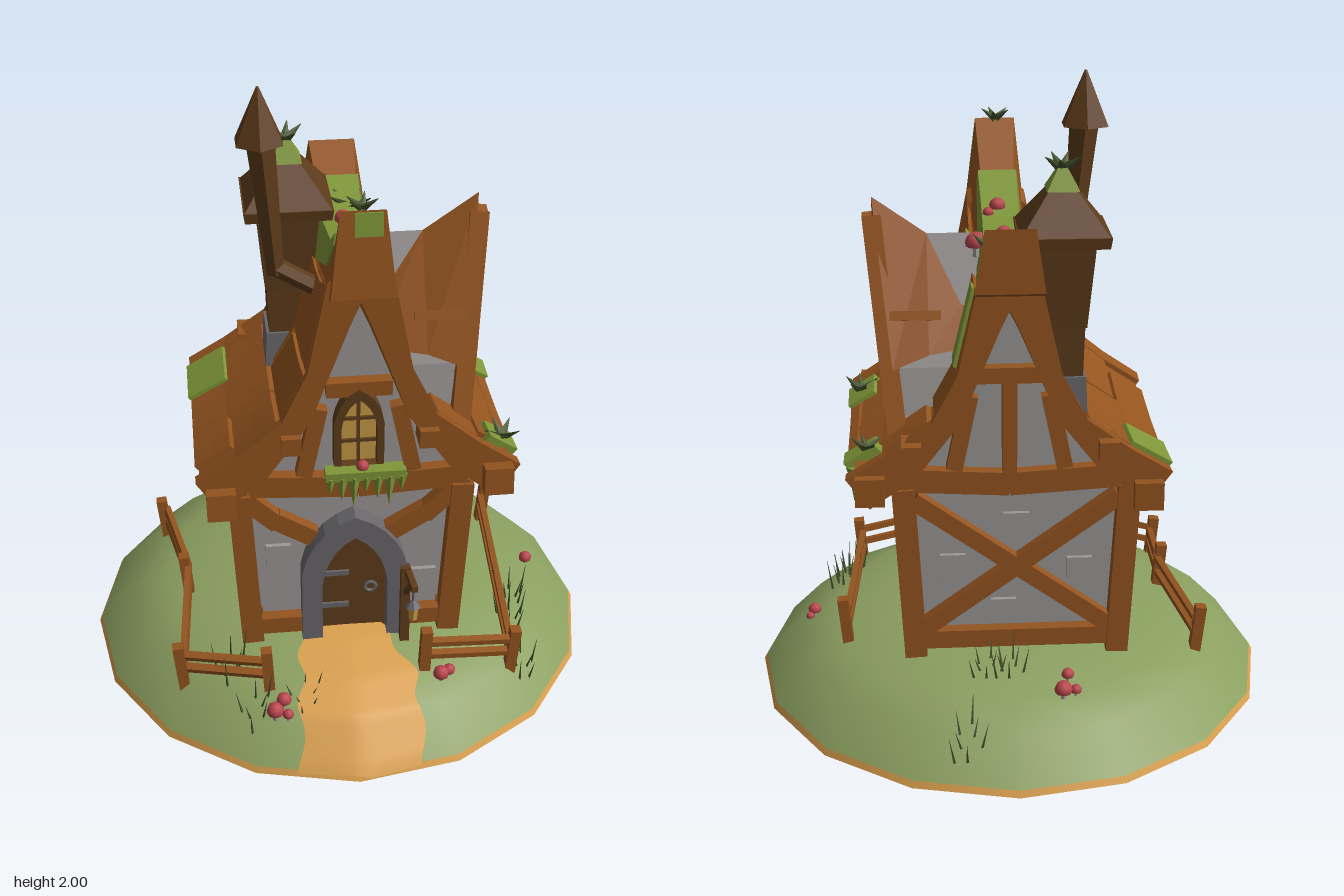
import * as THREE from 'three';

const V = (x, y, z) => new THREE.Vector3(x, y, z);
const lerp = THREE.MathUtils.lerp;
const mat = (name, color) => Object.assign(new THREE.MeshStandardMaterial({ color }), { name });
const M = {
  wood: mat('wood', 0x94541f), dark: mat('dark wood', 0x5e3c1b), wall: mat('plaster', 0x9c9896),
  stone: mat('stone', 0x69676a), grass: mat('grass', 0x8b9f60), dirt: mat('path dirt', 0xd9a04e),
  moss: mat('moss', 0x7f9638), leaf: mat('leaf', 0x46552c), red: mat('mushroom red', 0xb8444c),
  glass: mat('window glow', 0xc79a45),
};

// ---------- helpers ----------
function add(parent, name, geo, material, x = 0, y = 0, z = 0) {
  const m = new THREE.Mesh(geo, material);
  m.name = name;
  m.position.set(x, y, z);
  parent.add(m);
  return m;
}
function flat(geo) {
  const g = geo.index ? geo.toNonIndexed() : geo;
  g.computeVertexNormals();
  return g;
}
const aim = (m, a, b) => {
  m.position.copy(a).lerp(b, 0.5);
  m.quaternion.setFromUnitVectors(V(0, 1, 0), b.clone().sub(a).normalize());
  return m;
};
const beam = (p, name, a, b, w, d, material = M.wood) =>
  aim(add(p, name, new THREE.BoxGeometry(w, a.distanceTo(b), d), material), a, b);
const rod = (p, name, a, b, r0, r1, n, material) =>
  aim(add(p, name, flat(new THREE.CylinderGeometry(r1, r0, a.distanceTo(b), n)), material), a, b);

// Skins loops of points; the first loop is the front one, counter-clockwise from the front
function loft(sections) {
  const out = [], n = sections[0].length;
  const tri = (...ps) => ps.forEach((p) => out.push(p.x, p.y, p.z));
  for (let k = 0; k + 1 < sections.length; k++) for (let i = 0; i < n; i++) {
    const j = (i + 1) % n, s = sections[k], t = sections[k + 1];
    tri(s[i], t[i], t[j]);
    tri(s[i], t[j], s[j]);
  }
  const f = sections[0], b = sections[sections.length - 1];
  for (let i = 0; i < n / 2 - 1; i++) {
    tri(f[i], f[i + 1], f[n - 1 - i]);
    tri(b[i], b[n - 1 - i], b[i + 1]);
    if (i + 1 !== n - 2 - i) {
      tri(f[i + 1], f[n - 2 - i], f[n - 1 - i]);
      tri(b[i + 1], b[n - 1 - i], b[n - 2 - i]);
    }
  }
  const g = new THREE.BufferGeometry();
  g.setAttribute('position', new THREE.Float32BufferAttribute(out, 3));
  g.computeVertexNormals();
  return g;
}
const stations = (a, b, n) => Array.from({ length: n + 1 }, (_, i) => lerp(a, b, i / n));

// Ground height on the 16-sided mound
const HILL = [[0.845, 0], [0.835, 0.02], [0.72, 0.14], [0.6, 0.19], [0.45, 0.226], [0.25, 0.245], [0.001, 0.25]];
function groundY(x, z) {
  const step = Math.PI / 8, a = Math.atan2(x, z) + 0.024 + Math.PI * 2;
  const r = Math.hypot(x, z) * Math.cos((a % step) - step / 2) / Math.cos(step / 2);
  for (let i = 1; i < HILL.length; i++) {
    const [r0, y0] = HILL[i - 1], [r1, y1] = HILL[i];
    if (r >= r1) return lerp(y0, y1, Math.min(1, Math.max(0, (r0 - r) / (r0 - r1))));
  }
  return 0.25;
}

// Swept roof profile: half width and height, outer and inner edge, eave to ridge
const CX = 0.022;
const OUTER = [[0.49, 0.86], [0.365, 0.945], [0.225, 1.06], [0.145, 1.23], [0.085, 1.53], [0, 1.62]];
const INNER = [[0.43, 0.76], [0.285, 0.875], [0.15, 1.07], [0.085, 1.25], [0.03, 1.4], [0, 1.47]];
const sag = (z) => 0.17 - 0.17 * ((z + 0.08) / 0.5) ** 2;
function roofPoint(t, f, side, z, lift = 0) {
  const i = Math.min(4, Math.floor(t)), u = t - i;
  const c = (k) => lerp(lerp(OUTER[i][k], OUTER[i + 1][k], u), lerp(INNER[i][k], INNER[i + 1][k], u), f);
  const y = c(1);
  return V(CX + side * (c(0) + lift), y + lift - sag(z) * (y - 0.6) / 0.95, z);
}
const arc = (f, z, lift, from = 0) => [
  ...[0, 1, 2, 3, 4, 5].filter((i) => i >= from).map((i) => roofPoint(i, f, 1, z, i === 5 ? 0 : lift)),
  ...[4, 3, 2, 1, 0].filter((i) => i >= from).map((i) => roofPoint(i, f, -1, z, lift))];
const roofShell = (zs, f, lift) => loft(zs.map((z) => [...arc(0, z, lift), ...arc(f, z, 0).reverse()]));
// Thin plate lying on one roof slope
function roofPatch(t0, t1, z0, z1, side, lift) {
  const ts = stations(t0, t1, 2);
  return loft(stations(z0, z1, 4).map((z) => {
    const loop = [...ts.map((t) => roofPoint(t, 0, side, z, lift)),
      ...ts.map((t) => roofPoint(t, 0.1, side, z)).reverse()];
    return side > 0 ? loop : loop.reverse();
  }));
}

// Pointed arch outline
function arch(P, w, h) {
  const s = new P();
  s.moveTo(-w, 0); s.lineTo(w, 0); s.lineTo(w, h * 0.55);
  s.quadraticCurveTo(w * 0.85, h * 0.88, 0, h);
  s.quadraticCurveTo(-w * 0.85, h * 0.88, -w, h * 0.55);
  s.closePath();
  return s;
}
function archFrame(w, h, w2, h2, depth) {
  const s = arch(THREE.Shape, w, h);
  s.holes.push(arch(THREE.Path, w2, h2));
  return new THREE.ExtrudeGeometry(s, { depth, bevelEnabled: false, curveSegments: 5 });
}

function mushroom(p, x, y, z, s) {
  rod(p, 'mushroomStem', V(x, y - 0.01, z), V(x, y + s, z), s * 0.35, s * 0.25, 6, M.wall);
  add(p, 'mushroomCap', new THREE.SphereGeometry(s, 8, 4, 0, 6.2832, 0, 1.9), M.red, x, y + s, z);
}
function plant(p, x, y, z, s, n = 5) {
  for (let i = 0; i < n; i++) {
    const a = i * 2.4 + x * 9;
    const leaf = rod(p, 'plantLeaf', V(x, y, z), V(x + Math.cos(a) * s, y + s * 0.7, z + Math.sin(a) * s), s * 0.3, 0.001, 4, M.leaf);
    leaf.scale.z = 0.3;
  }
}
function tuft(p, x, z, h) {
  for (let i = 0; i < 7; i++) {
    const a = i * 2.4, r = 0.018 + 0.006 * i, bx = x + Math.cos(a) * r, bz = z + Math.sin(a) * r, y = groundY(bx, bz);
    rod(p, 'grassBlade', V(bx, y - 0.01, bz), V(bx + Math.cos(a) * 0.02, y + h * (0.6 + 0.07 * i), bz + Math.sin(a) * 0.02), 0.005, 0.0005, 3, M.leaf);
  }
}

export function createModel() {
  const root = new THREE.Group();
  root.name = 'cottage';
  const group = (name) => { const g = new THREE.Group(); g.name = name; root.add(g); return g; };

  // Mound, dirt rim, underside and path
  const ground = group('ground');
  const lathe = (pts) => new THREE.LatheGeometry(pts.map((p) => new THREE.Vector2(...p)), 16, -0.024);
  add(ground, 'mound', lathe(HILL.slice(1)), M.grass);
  add(ground, 'dirtRim', lathe(HILL.slice(0, 2)), M.dirt);
  add(ground, 'underside', new THREE.CircleGeometry(0.845, 16, 0.024).rotateX(Math.PI / 2), M.grass);
  const path = new THREE.PlaneGeometry(1, 1, 10, 26), pp = path.attributes.position;
  for (let i = 0; i < pp.count; i++) {
    const v = 0.5 - pp.getY(i), wob = 0.012 * Math.sin(v * 17);
    const x = lerp(-0.16 - 0.04 * v + wob, 0.09 + 0.1 * Math.min(1, v * 2) + wob, pp.getX(i) + 0.5);
    const z = lerp(0.36, 0.843 - 0.2 * Math.abs(x), v);
    pp.setXYZ(i, x, groundY(x, z) + 0.007, z);
  }
  path.computeVertexNormals();
  add(ground, 'path', path, M.dirt);

  // Plaster body, flaring up to the roof
  const house = group('house');
  add(house, 'walls', loft(stations(0.36, -0.335, 6).map((z) =>
    [V(0.305, 0.2, z), V(0.345, 0.8, z), ...arc(0.6, z, 0, 1), V(-0.33, 0.8, z), V(-0.295, 0.2, z)])), M.wall);

  // Roof, barge boards, lapped courses, eave beams
  const roof = group('roof');
  add(roof, 'roofShell', roofShell(stations(0.4, -0.355, 8), 0.35, 0), M.wood);
  add(roof, 'frontBargeBoard', roofShell([0.42, 0.365], 1, 0.012), M.wood);
  add(roof, 'backBargeBoard', roofShell([-0.325, -0.385], 1, 0.012), M.wood);
  for (const s of [1, -1]) {
    for (const [t0, t1, z0, z1] of [[1.0, 1.9, 0.36, 0.1], [0.9, 1.9, 0.09, -0.32], [2, 2.9, 0.36, -0.05], [2.1, 3, -0.06, -0.32], [3, 4, 0.36, -0.32], [0, 0.9, 0.3, -0.2]])
      add(roof, 'roofCourse', roofPatch(t0, t1, z0, z1, s, 0.012), M.wood);
    const x = s > 0 ? 0.45 : -0.405, y = s > 0 ? 0.845 : 0.81;
    beam(roof, 'eaveBeam', V(x, y, 0.47), V(x, y - 0.045, 0.02), 0.09, 0.09);
    beam(roof, 'eaveBeam', V(x, y - 0.045, 0.03), V(x, y - 0.035, -0.42), 0.09, 0.09);
    beam(roof, 'purlinEnd', V(CX + s * 0.21, 1.0, 0.36), V(CX + s * 0.21, 1.0, 0.445), 0.06, 0.06);
    beam(roof, 'purlinEnd', V(CX + s * 0.3, 0.93, -0.32), V(CX + s * 0.3, 0.93, -0.425), 0.06, 0.06);
  }

  // Sagging ridge cap: z, slant, top, bottom, top and bottom half width
  const CAP = [[0.455, 0.035, 1.78, 1.52, 0.065, 0.095], [0.3, 0.01, 1.63, 1.42, 0.055, 0.09], [0.12, 0, 1.52, 1.34, 0.05, 0.085],
    [-0.1, 0, 1.485, 1.31, 0.055, 0.09], [-0.28, 0, 1.55, 1.36, 0.065, 0.1], [-0.41, 0, 1.625, 1.43, 0.075, 0.105]];
  const capLoop = ([z, dz, t, b, w0, w1], o = 0, low = b) => {
    const w = lerp(w0, w1, (t - low) / (t - b));
    return [V(CX - w - o, low, z + dz * (t - low) / (t - b)), V(CX + w + o, low, z + dz * (t - low) / (t - b)), V(CX + w0 + o, t + o, z), V(CX - w0 - o, t + o, z)];
  };
  add(roof, 'ridgeCap', loft(CAP.map((c) => capLoop(c))), M.wood);
  add(roof, 'ridgeMoss', loft(CAP.slice(1, 5).map((c, i) => capLoop(c, 0.008, c[2] - [0.03, 0.08, 0.13, 0.05][i]))), M.moss);
  add(roof, 'frontRidgeMoss', new THREE.BoxGeometry(0.08, 0.07, 0.008), M.moss, CX + 0.015, 1.74, 0.463).rotation.x = -0.13;
  for (const [t0, t1, z0, z1, s] of [[0, 1, -0.13, -0.32, -1], [0, 0.7, 0.33, 0.21, 1], [0, 0.8, -0.16, -0.26, 1], [3.2, 4, 0.25, 0.12, 1], [3, 4, -0.12, -0.25, 1]])
    add(roof, 'roofMoss', roofPatch(t0, t1, z0, z1, s, 0.022), M.moss);

  // Timber framing, front and back
  const frame = group('timberFrame');
  for (const z of [0.375, -0.35]) {
    const b = (x0, y0, x1, y1, w = 0.06) => beam(frame, 'timber', V(x0, y0, z), V(x1, y1, z), w, 0.05);
    for (const s of [1, -1]) {
      beam(frame, 'cornerPost', V(s * 0.32, 0.22, z), V(s * 0.35, 0.8, z), 0.07, 0.07);
      b(CX + s * 0.12, 1.1, CX + s * 0.17, 0.86, 0.05);
      b(CX, 0.81, CX + s * 0.34, 0.83, 0.075);
      if (z > 0) {
        b(s * 0.33, 0.78, s * 0.23, 0.68);
        b(s * 0.24, 0.695, s * 0.12, 0.62);
        b(s * 0.16, 0.275, s * 0.3, 0.275);
      } else {
        b(s * 0.31, 0.3, -s * 0.32, 0.76, 0.055);
      }
    }
    b(CX - 0.1, 1.165, CX + 0.1, 1.165, 0.05);
    if (z < 0) { b(-0.3, 0.275, 0.3, 0.275); b(CX, 0.82, CX, 1.16, 0.045); }
  }
  // Side sills, top plates and wall stones
  for (const s of [1, -1]) {
    beam(frame, 'sideSill', V(s * 0.315, 0.29, 0.37), V(s * 0.315, 0.29, -0.35), 0.06, 0.08);
    beam(frame, 'topPlate', V(s * 0.35, 0.775, 0.4), V(s * 0.35, 0.765, -0.38), 0.05, 0.07);
    for (const [z, y] of [[0.28, 0.55], [0.16, 0.69], [-0.17, 0.53], [-0.22, 0.39]])
      add(house, 'wallStone', new THREE.BoxGeometry(0.03, 0.07, 0.075), M.wall, s * (0.32 + (y - 0.4) * 0.06), y, z);
  }
  for (const [x, y, z] of [[-0.23, 0.54, 0.36], [0.24, 0.41, 0.36], [0.2, 0.52, -0.335], [-0.2, 0.5, -0.335], [0, 0.66, -0.335], [0.04, 0.36, -0.335]])
    add(house, 'wallStone', new THREE.BoxGeometry(0.08, 0.08, 0.03), M.wall, x, y, z);

  // Arched door
  const door = group('door');
  add(door, 'stoneArch', archFrame(0.17, 0.48, 0.105, 0.4, 0.08), M.stone, 0.01, 0.23, 0.345);
  add(door, 'doorPanel', new THREE.ExtrudeGeometry(arch(THREE.Shape, 0.11, 0.41), { depth: 0.02, bevelEnabled: false }), M.dark, 0.01, 0.23, 0.355);
  for (const y of [0.33, 0.46]) add(door, 'hinge', new THREE.BoxGeometry(0.09, 0.018, 0.008), M.stone, -0.05, y, 0.379);
  add(door, 'doorRing', new THREE.TorusGeometry(0.018, 0.006, 5, 10), M.stone, 0.065, 0.4, 0.382);

  // Arched gable windows with sill moss
  const win = group('frontWindow');
  add(win, 'windowFrame', archFrame(0.077, 0.27, 0.055, 0.235, 0.045), M.dark, CX, 0.895, 0.36);
  add(win, 'windowGlass', new THREE.ShapeGeometry(arch(THREE.Shape, 0.06, 0.24)), M.glass, CX, 0.895, 0.372);
  add(win, 'mullion', new THREE.BoxGeometry(0.01, 0.24, 0.012), M.dark, CX, 1.01, 0.375);
  for (const y of [0.97, 1.05]) add(win, 'transom', new THREE.BoxGeometry(0.11, 0.01, 0.012), M.dark, CX, y, 0.375);
  add(win, 'sillMoss', new THREE.BoxGeometry(0.25, 0.03, 0.05), M.moss, CX + 0.02, 0.865, 0.4);
  for (let i = 0; i < 7; i++)
    rod(win, 'hangingMoss', V(CX - 0.09 + i * 0.037, 0.86, 0.412), V(CX - 0.09 + i * 0.037, 0.8 - 0.025 * (i % 3), 0.412), 0.02, 0.002, 4, M.moss);
  mushroom(win, CX + 0.01, 0.875, 0.41, 0.02);

  // Side dormer, modelled facing +z and then turned to face +x
  const dormer = group('dormer');
  dormer.rotation.y = Math.PI / 2;
  dormer.position.z = 0.03;
  const lean = (y) => 0.345 + (y - 0.9) * 0.1;
  const P = (x, y, o = 0) => V(x, y, lean(y) + o);
  const back = (v, z) => V(v.x, v.y, z);
  const tri = [P(-0.17, 0.86), P(0.17, 0.86), P(0.14, 1.1), P(0, 1.5), P(-0.14, 1.1)];
  add(dormer, 'dormerWall', loft([[tri[1], tri[2], tri[3], tri[4], tri[0]], [1, 2, 3, 4, 0].map((i) => back(tri[i], 0.06))]), M.wall);
  const slab = (w, e, top, th, z, dz) => [V(w, e, z), V(0, top, z + dz), V(-w, e, z), V(-w + 0.035, e - 0.01, z), V(0, top - th, z + dz), V(w - 0.035, e - 0.01, z)];
  add(dormer, 'dormerRoof', loft([slab(0.19, 1.11, 1.62, 0.1, 0.375, 0.055), slab(0.165, 1.15, 1.5, 0.08, 0.26, 0), slab(0.14, 1.17, 1.4, 0.07, 0.1, -0.03)]), M.wood);
  for (const s of [1, -1]) {
    beam(dormer, 'dormerBargeBoard', P(s * 0.195, 0.9, 0.02), P(s * 0.005, 1.56, 0.02), 0.05, 0.06);
    add(dormer, 'roofStrip', roofStrip(s), M.wood);
  }
  function roofStrip(s) {
    const g = new THREE.BoxGeometry(0.012, 0.03, 0.16);
    return g.rotateZ(s * 0.35).translate(s * 0.13, 1.27, 0.3);
  }
  for (const [x0, y0, x1, y1] of [[-0.17, 0.915, 0.17, 0.915], [-0.15, 1.09, 0.15, 1.09], [-0.15, 1.06, 0.14, 0.94]])
    beam(dormer, 'dormerTimber', P(x0, y0, 0.01), P(x1, y1, 0.01), 0.04, 0.04);
  const oval = add(dormer, 'ovalFrame', new THREE.TorusGeometry(0.055, 0.012, 6, 14), M.dark, 0, 1.265, lean(1.265) + 0.012);
  oval.scale.set(1, 1.6, 1.5);
  add(dormer, 'ovalGlass', new THREE.CircleGeometry(0.055, 14), M.glass, 0, 1.265, lean(1.265) + 0.014).scale.y = 1.6;
  add(dormer, 'ovalMullion', new THREE.BoxGeometry(0.01, 0.17, 0.012), M.dark, 0, 1.265, lean(1.265) + 0.016);
  add(dormer, 'ovalTransom', new THREE.BoxGeometry(0.1, 0.01, 0.012), M.dark, 0, 1.265, lean(1.265) + 0.016);

  // Square flared chimney with a mossy pyramid cap
  const chimney = group('chimney');
  const square = (name, y0, y1, h0, h1, m) => add(chimney, name,
    flat(new THREE.CylinderGeometry(h1 * Math.SQRT2, h0 * Math.SQRT2, y1 - y0, 4).rotateY(Math.PI / 4)), m, -0.15, (y0 + y1) / 2, -0.15);
  square('chimneyBase', 0.98, 1.1, 0.08, 0.075, M.stone);
  square('chimneyNeck', 1.08, 1.26, 0.065, 0.07, M.dark);
  square('chimneyFlare', 1.26, 1.55, 0.075, 0.1, M.dark);
  square('chimneyEave', 1.525, 1.56, 0.135, 0.14, M.dark);
  square('chimneyCap', 1.56, 1.7, 0.135, 0.03, M.dark);
  square('chimneyMoss', 1.68, 1.745, 0.05, 0.015, M.moss);
  plant(chimney, -0.15, 1.74, -0.15, 0.06);

  // Six-sided stove pipe
  const pipe = group('stovePipe');
  rod(pipe, 'pipe', V(-0.2, 1.4, 0.07), V(-0.238, 1.85, 0.065), 0.03, 0.05, 6, M.dark);
  rod(pipe, 'pipeElbow', V(-0.2, 1.42, 0.07), V(-0.07, 1.34, 0.07), 0.03, 0.03, 6, M.dark);
  rod(pipe, 'pipeHat', V(-0.24, 1.83, 0.065), V(-0.24, 2, 0.065), 0.08, 0.004, 6, M.dark);

  // Fences
  const fence = group('fence');
  for (const line of [[[-0.59, -0.28], [-0.52, 0.1], [-0.55, 0.47], [-0.28, 0.57]], [[0.54, -0.21], [0.51, 0.51], [0.22, 0.55]]])
    line.forEach(([x, z], i) => {
      const y = groundY(x, z);
      beam(fence, 'fencePost', V(x, y - 0.03, z), V(x * 1.03, y + 0.15, z), 0.035, 0.035);
      if (!i) return;
      const [x0, z0] = line[i - 1], y0 = groundY(x0, z0);
      for (const h of [0.06, 0.11]) beam(fence, 'fenceRail', V(x0, y0 + h, z0), V(x, y + h - 0.01, z), 0.02, 0.025);
    });

  // Lantern on a bracket post
  const lantern = group('lantern');
  beam(lantern, 'lanternPost', V(0.17, 0.22, 0.44), V(0.17, 0.51, 0.43), 0.03, 0.03, M.dark);
  beam(lantern, 'lanternArm', V(0.175, 0.495, 0.41), V(0.185, 0.5, 0.54), 0.02, 0.02, M.dark);
  beam(lantern, 'lanternBrace', V(0.17, 0.41, 0.44), V(0.18, 0.49, 0.5), 0.015, 0.015, M.dark);
  rod(lantern, 'lanternChain', V(0.185, 0.43, 0.515), V(0.185, 0.5, 0.515), 0.004, 0.004, 4, M.stone);
  rod(lantern, 'lanternGlow', V(0.185, 0.365, 0.515), V(0.185, 0.415, 0.515), 0.014, 0.018, 6, M.glass);
  rod(lantern, 'lanternLid', V(0.185, 0.415, 0.515), V(0.185, 0.44, 0.515), 0.026, 0.004, 6, M.stone);

  // Mushrooms, plants, grass and hanging moss
  const flora = group('flora');
  for (const [x, z, s] of [[-0.13, -0.59, 0.028], [-0.15, -0.52, 0.02], [-0.17, -0.58, 0.018], [0.665, 0.02, 0.022], [0.68, 0.0, 0.014], [0.27, 0.59, 0.026], [0.3, 0.57, 0.02], [-0.24, 0.64, 0.024], [-0.27, 0.67, 0.028], [-0.23, 0.68, 0.018]])
    mushroom(flora, x, groundY(x, z), z, s);
  for (const [x, y, z, s] of [[0.03, 1.53, 0.15, 0.026], [0.06, 1.52, 0.13, 0.018], [0.02, 1.49, -0.05, 0.026], [0.105, 1.44, 0, 0.035]]) mushroom(flora, x, y, z, s);
  for (const [x, y, z, s] of [[0.02, 1.78, 0.44, 0.045], [0.06, 1.49, -0.17, 0.07], [0.1, 1.44, 0.06, 0.06], [0.49, 0.88, 0.28, 0.06], [0.46, 0.88, -0.24, 0.05]]) plant(flora, x, y, z, s);
  for (const [x, z, h] of [[-0.4, 0.48, 0.13], [-0.33, 0.63, 0.09], [0.57, 0.22, 0.12], [0.55, 0.32, 0.1], [0.56, 0.48, 0.09], [0.03, -0.48, 0.1], [0.1, -0.47, 0.07], [0.17, -0.72, 0.09], [-0.17, 0.62, 0.05]]) tuft(flora, x, z, h);
  for (const [x, z0] of [[0.505, 0.24], [0.505, -0.23], [-0.455, -0.23]])
    for (let i = 0; i < 4; i++)
      rod(flora, 'hangingMoss', V(x, 0.83, z0 + i * 0.03 - 0.03), V(x, 0.77 - 0.04 * (i % 3), z0 + i * 0.03 - 0.03), 0.022, 0.002, 4, M.moss);
  return root;
}
